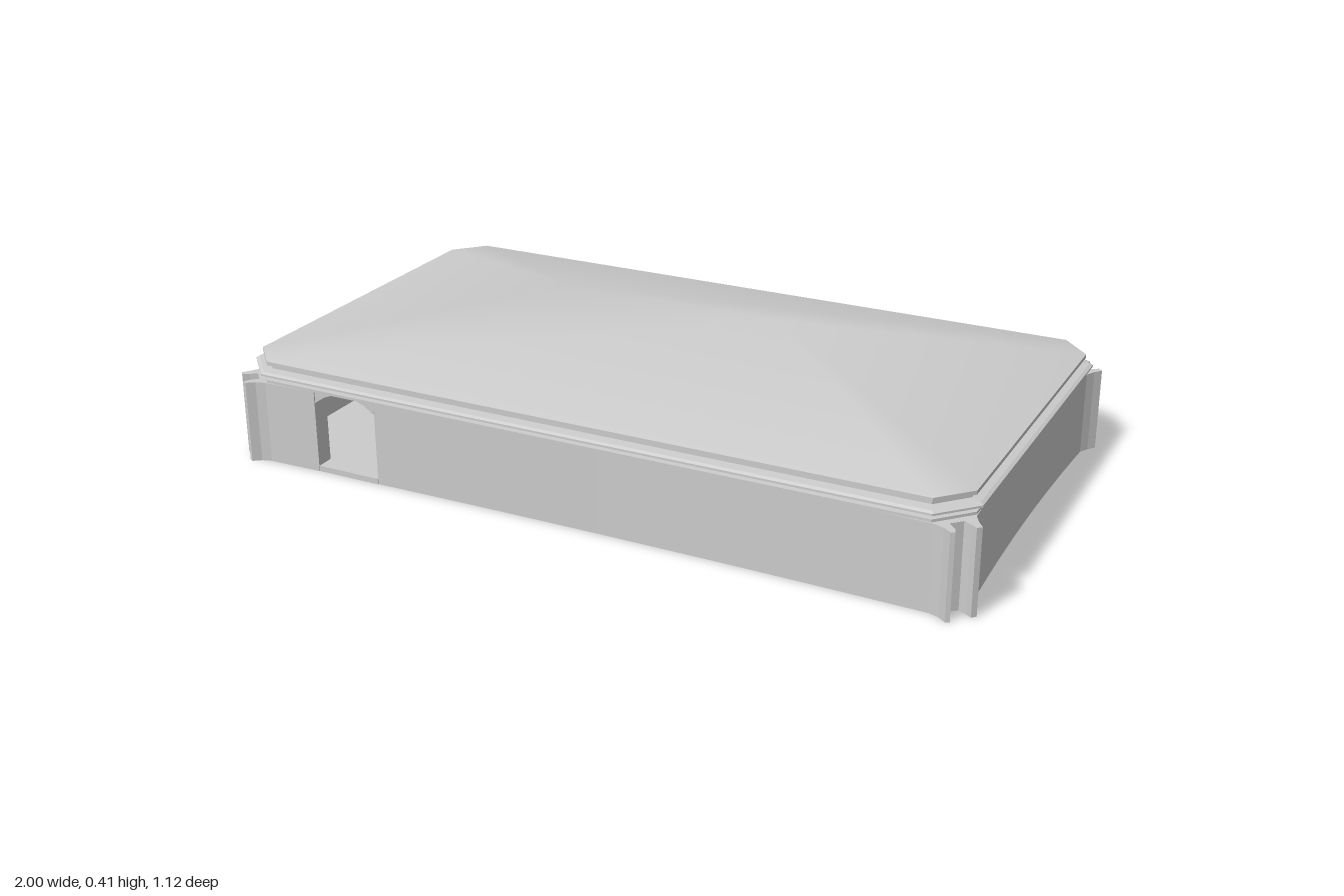
import * as THREE from 'three';
import { mergeVertices } from 'three/addons/utils/BufferGeometryUtils.js';

const grey = new THREE.MeshStandardMaterial({ color: 0xcccccc });

function add(parent, name, geometry) {
  const mesh = new THREE.Mesh(geometry, grey);
  mesh.name = name;
  parent.add(mesh);
  return mesh;
}

// Plan outline in (x, z), raised from y = 0 to the given height
function raisePlan(points, height) {
  const shape = new THREE.Shape(points.map(([x, z]) => new THREE.Vector2(x, -z)));
  return new THREE.ExtrudeGeometry(shape, { depth: height, bevelEnabled: false }).rotateX(-Math.PI / 2);
}

// Chamfered rectangle, counterclockwise from above, grown by offset o
function ring(o, y) {
  const X = 0.985 + o, Z = 0.55 + o, cx = 0.9 + o * 0.4, cz = 0.46 + o * 0.4;
  return [[-cx, Z], [cx, Z], [X, cz], [X, -cz], [cx, -Z], [-cx, -Z], [-X, -cz], [-X, cz]]
    .map(([x, z]) => [x, y, z]);
}

// Skin between successive closed rings
function loft(rings) {
  const pos = [];
  for (let i = 0; i < rings.length - 1; i++) {
    for (let j = 0; j < 8; j++) {
      const k = (j + 1) % 8;
      const [a, b, c, d] = [rings[i][j], rings[i][k], rings[i + 1][k], rings[i + 1][j]];
      pos.push(...a, ...b, ...c, ...a, ...c, ...d);
    }
  }
  const g = new THREE.BufferGeometry();
  g.setAttribute('position', new THREE.Float32BufferAttribute(pos, 3));
  g.computeVertexNormals();
  return g;
}

// Half of the building; the other half is the same turned by 180 degrees
function createHalf() {
  const half = new THREE.Group();
  const frontZ = x => 0.525 + 0.012 * (x / 0.9) ** 2;
  const sideX = z => 0.96 + 0.012 * (z / 0.46) ** 2;

  // Twin-horned corner, from the long wall to the short wall
  const corner = [
    [0.9, 0.537], [0.925, 0.545], [0.945, 0.56], [0.955, 0.555], [0.95, 0.54], [0.93, 0.52],
    [0.955, 0.495], [0.975, 0.505], [0.99, 0.515], [1, 0.505], [0.985, 0.485], [0.972, 0.46],
  ];

  // Slightly hollowed walls between the two doorways
  const plan = [];
  for (let i = 0; i < 14; i++) {
    const x = -0.57 + (1.47 * i) / 14;
    plan.push([x, frontZ(x)]);
  }
  plan.push(...corner);
  for (let i = 1; i < 12; i++) {
    const z = 0.46 - (0.92 * i) / 12;
    plan.push([sideX(z), z]);
  }
  plan.push(...corner.map(([x, z]) => [x, -z]).reverse());
  plan.push([0.75, -frontZ(0.75)], [0.75, -0.485], [0.89, -0.485], [0.925, -0.44],
    [0.925, 0.44], [0.89, 0.485], [-0.57, 0.485]);
  add(half, 'wall', raisePlan(plan, 0.22));

  // Sloped shoulders of the doorway head
  for (const s of [-1, 1]) {
    const shape = new THREE.Shape([
      new THREE.Vector2(s * 0.09, 0.19), new THREE.Vector2(s * 0.09, 0.222),
      new THREE.Vector2(s * 0.03, 0.222), new THREE.Vector2(s * 0.06, 0.21),
    ]);
    add(half, 'doorShoulder', new THREE.ExtrudeGeometry(shape, { depth: 0.045, bevelEnabled: false }))
      .position.set(-0.66, 0, 0.485);
  }

  // Threshold under the doorway
  add(half, 'threshold', new THREE.BoxGeometry(0.18, 0.015, 0.06)).position.set(-0.66, 0.0075, 0.502);

  // Sloped cove and narrow ledge on the inside of the far wall
  const cove = new THREE.Shape([
    new THREE.Vector2(0.485, 0.165), new THREE.Vector2(0.485, 0.225), new THREE.Vector2(0.38, 0.225),
  ]);
  add(half, 'ceilingCove', new THREE.ExtrudeGeometry(cove, { depth: 1.4, bevelEnabled: false })
    .rotateY(Math.PI / 2)).position.set(-0.9, 0, 0);
  add(half, 'wallLedge', new THREE.BoxGeometry(1.4, 0.012, 0.03)).position.set(-0.2, 0.125, -0.475);
  return half;
}

export function createModel() {
  const model = new THREE.Group();
  model.name = 'pavilion';

  const front = createHalf();
  front.name = 'frontHalf';
  const back = createHalf();
  back.name = 'backHalf';
  back.rotation.y = Math.PI;
  model.add(front, back);

  // Floor inside the walls
  add(model, 'floor', raisePlan(ring(-0.04, 0).map(p => [p[0], p[2]]), 0.015));

  // Stepped cornice, closed underneath by the ceiling
  const ceilingCentre = Array.from({ length: 8 }, () => [0, 0.221, 0]);
  const profile = [
    [-0.015, 0.221], [-0.015, 0.228], [-0.045, 0.229], [-0.045, 0.235], [-0.008, 0.24], [0, 0.244],
    [0, 0.249], [-0.008, 0.253], [-0.032, 0.256], [-0.032, 0.264], [-0.018, 0.268], [-0.018, 0.278],
  ];
  add(model, 'cornice', loft([ceilingCentre, ...profile.map(([o, y]) => ring(o, y))]));

  // Smooth hipped roof rising to a ridge
  const eave = ring(-0.018, 0.278);
  const ridge = eave.map(([x]) => [Math.sign(x) * 0.3, 0.41, 0]);
  const roof = loft([eave, ridge]);
  roof.deleteAttribute('normal');
  const smoothRoof = mergeVertices(roof);
  smoothRoof.computeVertexNormals();
  add(model, 'roof', smoothRoof);

  return model;
}
